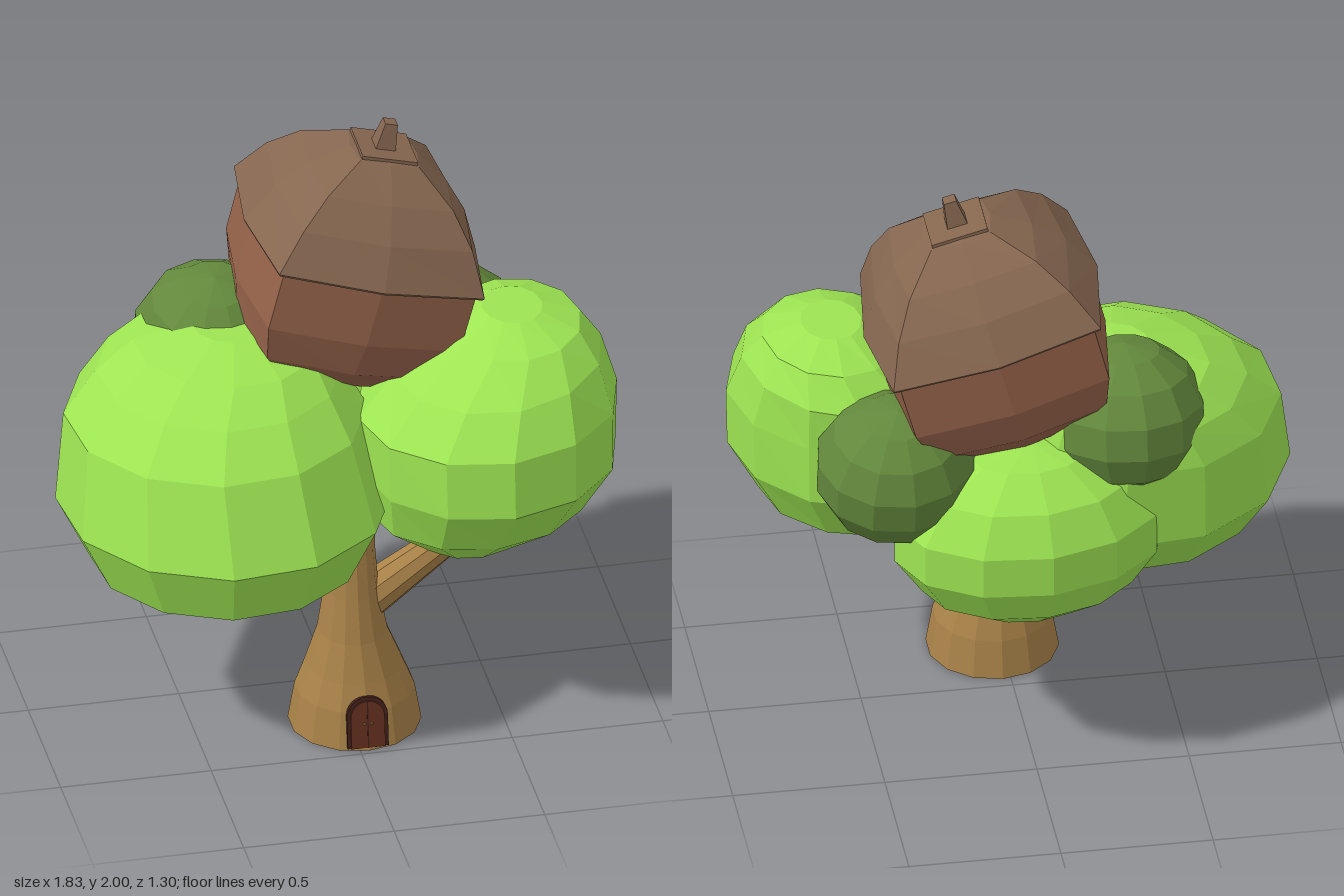
import * as THREE from 'three';

const mat = (color) => new THREE.MeshStandardMaterial({ color, flatShading: true });
const LEAF = mat(0x9de452), DARK_LEAF = mat(0x63883c), BARK = mat(0xa98248);
const WALL = mat(0x95624a), ROOF = mat(0x866750), DOOR = mat(0x632f1f), FRAME = mat(0x43201a), KNOB = mat(0xa37e46);

function add(parent, name, geometry, material) {
  const mesh = new THREE.Mesh(geometry, material);
  mesh.name = name;
  parent.add(mesh);
  return mesh;
}

// Skin a stack of rings (bottom to top) and close both ends
function loft(rings) {
  const pos = [], n = rings[0].length;
  const tri = (...pts) => pts.forEach((p) => pos.push(p.x, p.y, p.z));
  const centre = (ring) => ring.reduce((s, p) => s.add(p), new THREE.Vector3()).divideScalar(n);
  const first = rings[0], last = rings[rings.length - 1];
  const c0 = centre(first), c1 = centre(last);
  for (let j = 0; j < n; j++) {
    const k = (j + 1) % n;
    for (let i = 0; i < rings.length - 1; i++) {
      const a = rings[i], b = rings[i + 1];
      tri(a[j], b[j], b[k]);
      tri(a[j], b[k], a[k]);
    }
    tri(c0, first[j], first[k]);
    tri(c1, last[k], last[j]);
  }
  const g = new THREE.BufferGeometry();
  g.setAttribute('position', new THREE.Float32BufferAttribute(pos, 3));
  g.computeVertexNormals();
  return g;
}

// Elliptical ring: height, centre x, centre z, radius x, radius z, rise towards +x
const oval = (n, turn) => ([y, cx, cz, rx, rz, rise = 0]) => Array.from({ length: n }, (_, j) => {
  const a = ((j + turn) / n) * Math.PI * 2, dx = rx * Math.cos(a);
  return new THREE.Vector3(cx + dx, y + rise * dx, cz + rz * Math.sin(a));
});

// Square ring with bowed sides: height, half width at corner, half width at middle
const bowedSquare = ([y, c, m]) =>
  [[m, 0], [c, c], [0, m], [-c, c], [-m, 0], [-c, -c], [0, -m], [c, -c]]
    .map(([x, z]) => new THREE.Vector3(x, y, z));

// Tapered cylinder between two points
function limb(from, to, r0, r1) {
  const a = new THREE.Vector3(...from), d = new THREE.Vector3(...to).sub(a);
  const g = new THREE.CylinderGeometry(r1, r0, d.length(), 10);
  g.translate(0, d.length() / 2, 0);
  g.applyQuaternion(new THREE.Quaternion().setFromUnitVectors(
    new THREE.Vector3(0, 1, 0), d.clone().normalize()));
  return g.translate(a.x, a.y, a.z);
}

function arch(w, h, depth) {
  const s = new THREE.Shape();
  s.moveTo(-w / 2, 0);
  s.lineTo(w / 2, 0);
  s.lineTo(w / 2, h - w / 2);
  s.absarc(0, h - w / 2, w / 2, 0, Math.PI, false);
  s.closePath();
  return new THREE.ExtrudeGeometry(s, { depth, bevelEnabled: false, curveSegments: 8 });
}

export function createModel() {
  const tree = new THREE.Group();
  tree.name = 'treehouse';

  // Flared trunk and branches
  add(tree, 'trunk', loft([
    [0, 0.027, 0.262, 0.217, 0.222], [0.13, 0.027, 0.262, 0.195, 0.2], [0.22, 0.025, 0.262, 0.16, 0.172],
    [0.35, 0.018, 0.267, 0.113, 0.132], [0.5, 0.015, 0.268, 0.088, 0.105],
    [0.65, 0.015, 0.262, 0.078, 0.088], [0.8, 0.015, 0.255, 0.08, 0.08],
  ].map(oval(14, 0.5))), BARK);
  add(tree, 'sideBranch', limb([0.04, 0.43, 0.265], [0.44, 0.7, 0.25], 0.078, 0.045), BARK);
  const bend = new THREE.CatmullRomCurve3([
    [0.01, 0.54, 0.24], [-0.02, 0.55, 0.1], [-0.07, 0.59, -0.03], [-0.1, 0.72, -0.13],
  ].map((p) => new THREE.Vector3(...p)));
  add(tree, 'backBranch', new THREE.TubeGeometry(bend, 8, 0.048, 8), BARK);

  // Arched double door
  const door = new THREE.Group();
  door.name = 'door';
  door.position.set(0.027, 0.004, 0.435);
  door.rotation.x = -0.13;
  add(door, 'doorFrame', arch(0.136, 0.178, 0.042), FRAME);
  add(door, 'doorPanel', arch(0.112, 0.164, 0.047), DOOR);
  add(door, 'doorGap', new THREE.BoxGeometry(0.004, 0.16, 0.004), FRAME).position.set(0, 0.08, 0.047);
  for (const s of [-1, 1]) {
    add(door, 'doorKnob', new THREE.SphereGeometry(0.005, 6, 4), KNOB).position.set(s * 0.012, 0.085, 0.049);
  }
  tree.add(door);

  // Two large leaning crowns
  add(tree, 'rightCrown', loft([
    [0.5, -0.35, 0.2, 0.16, 0.2], [0.61, -0.375, 0.14, 0.445, 0.45], [0.8, -0.37, 0.1, 0.55, 0.56],
    [1.08, -0.385, 0.03, 0.495, 0.5], [1.2, -0.36, -0.03, 0.4, 0.42], [1.28, -0.32, -0.08, 0.31, 0.33],
    [1.34, -0.31, -0.07, 0.13, 0.13],
  ].map(oval(12, 0.3))), LEAF);
  add(tree, 'leftCrown', loft([
    [0.62, 0.43, 0.21, 0.17, 0.17, 0.08], [0.73, 0.45, 0.18, 0.36, 0.34, 0.03],
    [0.9, 0.485, 0.19, 0.425, 0.435, 0.04], [1.1, 0.485, 0.185, 0.43, 0.425, 0.05],
    [1.24, 0.525, 0.145, 0.345, 0.375, 0.1], [1.35, 0.58, 0.125, 0.225, 0.265, 0.05],
    [1.405, 0.58, 0.12, 0.1, 0.12],
  ].map(oval(12, 0))), LEAF);

  // Back crown and two small dark clumps
  const clump = (name, material, [x, y, z], [rx, ry, rz], tilt) => {
    const m = add(tree, name, new THREE.SphereGeometry(1, 12, 7), material);
    m.scale.set(rx, ry, rz);
    m.position.set(x, y, z);
    m.rotation.set(tilt, 0.1, 0);
  };
  clump('backCrown', LEAF, [0, 0.84, -0.32], [0.46, 0.32, 0.335], 0);
  clump('leftClump', DARK_LEAF, [0.43, 1.085, -0.285], [0.27, 0.25, 0.26], -0.2);
  clump('rightClump', DARK_LEAF, [-0.335, 1.185, -0.24], [0.265, 0.25, 0.28], 0.15);

  // Acorn-shaped house, tipped to one side
  const house = new THREE.Group();
  house.name = 'acornHouse';
  house.position.set(0.125, 1.585, -0.125);
  house.rotation.z = -0.255;
  add(house, 'houseWalls', loft([
    [-0.5, 0.05, 0.06], [-0.45, 0.18, 0.21], [-0.34, 0.29, 0.33],
    [-0.21, 0.328, 0.368], [0.03, 0.33, 0.37],
  ].map(bowedSquare)), WALL);
  add(house, 'houseRoof', loft([
    [0.012, 0.3, 0.33], [-0.002, 0.348, 0.392], [0.006, 0.352, 0.397], [0.14, 0.29, 0.325],
    [0.24, 0.215, 0.235], [0.325, 0.1, 0.115], [0.335, 0.04, 0.05],
  ].map(bowedSquare)), ROOF);
  add(house, 'roofCap', new THREE.BoxGeometry(0.19, 0.03, 0.19), ROOF).position.y = 0.323;
  const stem = add(house, 'roofStem', new THREE.CylinderGeometry(0.03, 0.05, 0.1, 4), ROOF);
  stem.position.set(-0.003, 0.377, 0);
  stem.rotation.y = Math.PI / 4;
  tree.add(house);

  return tree;
}
